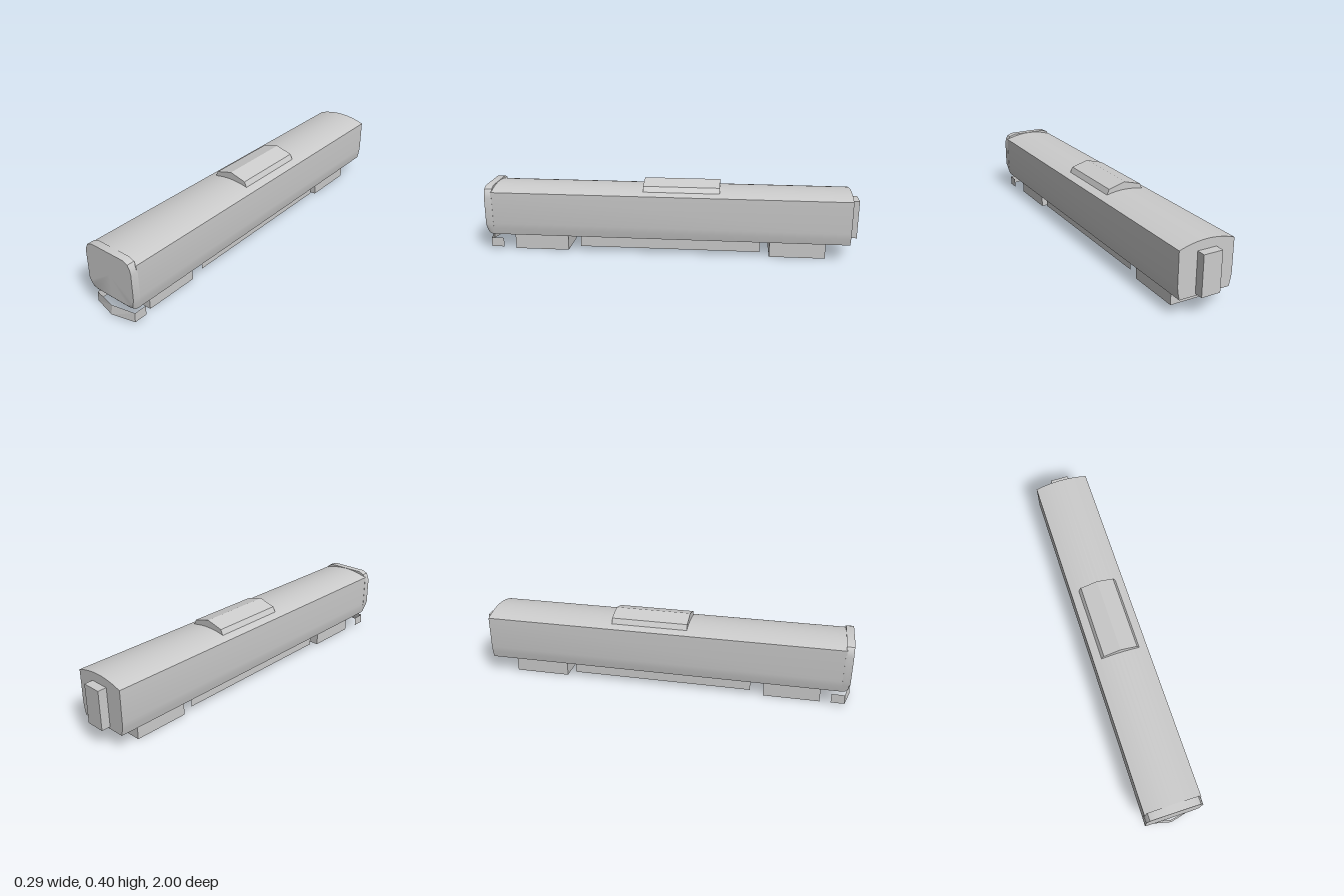
import * as THREE from 'three';
import { toCreasedNormals } from 'three/addons/utils/BufferGeometryUtils.js';

const grey = new THREE.MeshStandardMaterial({ color: 0xcccccc });
const thin = new THREE.MeshStandardMaterial({ color: 0xcccccc, side: THREE.DoubleSide });

// Full outline from a half profile running bottom centre -> top centre
const mirrorProfile = (half) => [
  ...half,
  ...half.slice(1, -1).reverse().map(([x, y]) => [-x, y]),
];

// Skin between matching outlines, ordered from back to front, with closed ends
function loft(sections, crease = 0.5) {
  const pos = [];
  const tri = (...pts) => pts.forEach((p) => pos.push(...p));
  const rings = sections.map(({ z, outline }) => outline.map(([x, y]) => [x, y, z]));
  const n = rings[0].length;
  for (let i = 0; i < rings.length - 1; i++) {
    for (let j = 0; j < n; j++) {
      const k = (j + 1) % n, a = rings[i], b = rings[i + 1];
      tri(a[j], a[k], b[k]);
      tri(a[j], b[k], b[j]);
    }
  }
  const last = rings[rings.length - 1], first = rings[0];
  const centre = (r) => [0, (Math.min(...r.map((p) => p[1])) + Math.max(...r.map((p) => p[1]))) / 2, r[0][2]];
  for (let j = 0; j < n; j++) {
    const k = (j + 1) % n;
    tri(centre(last), last[j], last[k]);
    tri(centre(first), first[k], first[j]);
  }
  const g = new THREE.BufferGeometry();
  g.setAttribute('position', new THREE.Float32BufferAttribute(pos, 3));
  return toCreasedNormals(g, crease);
}

// Vertical sheet following a path of [x, z, topZ] between two heights
function sheet(path, y0, y1) {
  const pos = [];
  for (let i = 0; i < path.length - 1; i++) {
    const [ax, az, at = az] = path[i], [bx, bz, bt = bz] = path[i + 1];
    pos.push(ax, y0, az, bx, y0, bz, bx, y1, bt, ax, y0, az, bx, y1, bt, ax, y1, at);
  }
  const g = new THREE.BufferGeometry();
  g.setAttribute('position', new THREE.Float32BufferAttribute(pos, 3));
  g.computeVertexNormals();
  return g;
}

export function createModel() {
  const group = new THREE.Group();
  const add = (name, geometry, material = grey) => {
    const mesh = new THREE.Mesh(geometry, material);
    mesh.name = name;
    group.add(mesh);
    return mesh;
  };

  // Carriage body: tucked-in sills, upright sides, shallow arched roof
  const half = [[0, 0.095], [0.134, 0.095], [0.142, 0.13], [0.146, 0.16], [0.146, 0.332]];
  for (let i = 1; i <= 6; i++) {
    const x = 0.146 * (1 - i / 6);
    half.push([x, 0.358 - 0.026 * (x / 0.146) ** 2]);
  }
  const body = mirrorProfile(half);
  add('body', loft([{ z: -0.955, outline: body }, { z: 0.95, outline: body }], 0.3));

  // Rounded front end, its lower edge curving back into the sills
  const upper = [[0.147, 0.3], [0.142, 0.326], [0.13, 0.348], [0.1, 0.36], [0, 0.36]];
  const rear = [[0, 0.095], [0.11, 0.095], [0.134, 0.095], [0.142, 0.13], [0.147, 0.16], ...upper];
  const face = [[0, 0.112], [0.1, 0.113], [0.129, 0.127], [0.141, 0.142], [0.147, 0.16], ...upper];
  const blend = (t) => mirrorProfile(rear.map(([x, y], i) => [
    x + (face[i][0] - x) * t, y + (face[i][1] - y) * t,
  ]));
  add('frontEnd', loft([[0.945, 0], [0.965, 0.1], [0.978, 0.45], [0.985, 1]]
    .map(([z, t]) => ({ z, outline: blend(t) }))));

  // Peaked roof unit
  const pod = mirrorProfile([[0, 0.345], [0.103, 0.345], [0.09, 0.373], [0, 0.398]]);
  add('roofUnit', loft([{ z: -0.27, outline: pod }, { z: 0.135, outline: pod }], 0.1));

  // Gangway on the rear wall
  const gangway = add('rearGangway', new THREE.BoxGeometry(0.1, 0.205, 0.05));
  gangway.position.set(0, 0.208, -0.975);

  // Wheel covers: four walls open underneath
  const w = 0.093;
  for (const [name, z0, z1] of [['frontWheelCover', 0.55, 0.845], ['rearWheelCover', -0.835, -0.54]]) {
    add(name, sheet([[-w, z0], [-w, z1], [w, z1], [w, z0], [-w, z0]], 0, 0.097), thin);
  }

  // Long side skirts between the wheel covers
  for (const [name, x] of [['leftSkirt', w], ['rightSkirt', -w]]) {
    add(name, sheet([[x, -0.49], [x, 0.48]], 0.025, 0.097), thin);
  }

  // Pointed front guard strip with returned ends
  add('frontGuard', sheet([
    [-0.126, 0.9], [-0.126, 0.97, 0.967], [0, 1, 0.992], [0.126, 0.97, 0.967], [0.126, 0.9],
  ], 0.02, 0.07), thin);

  return group;
}
